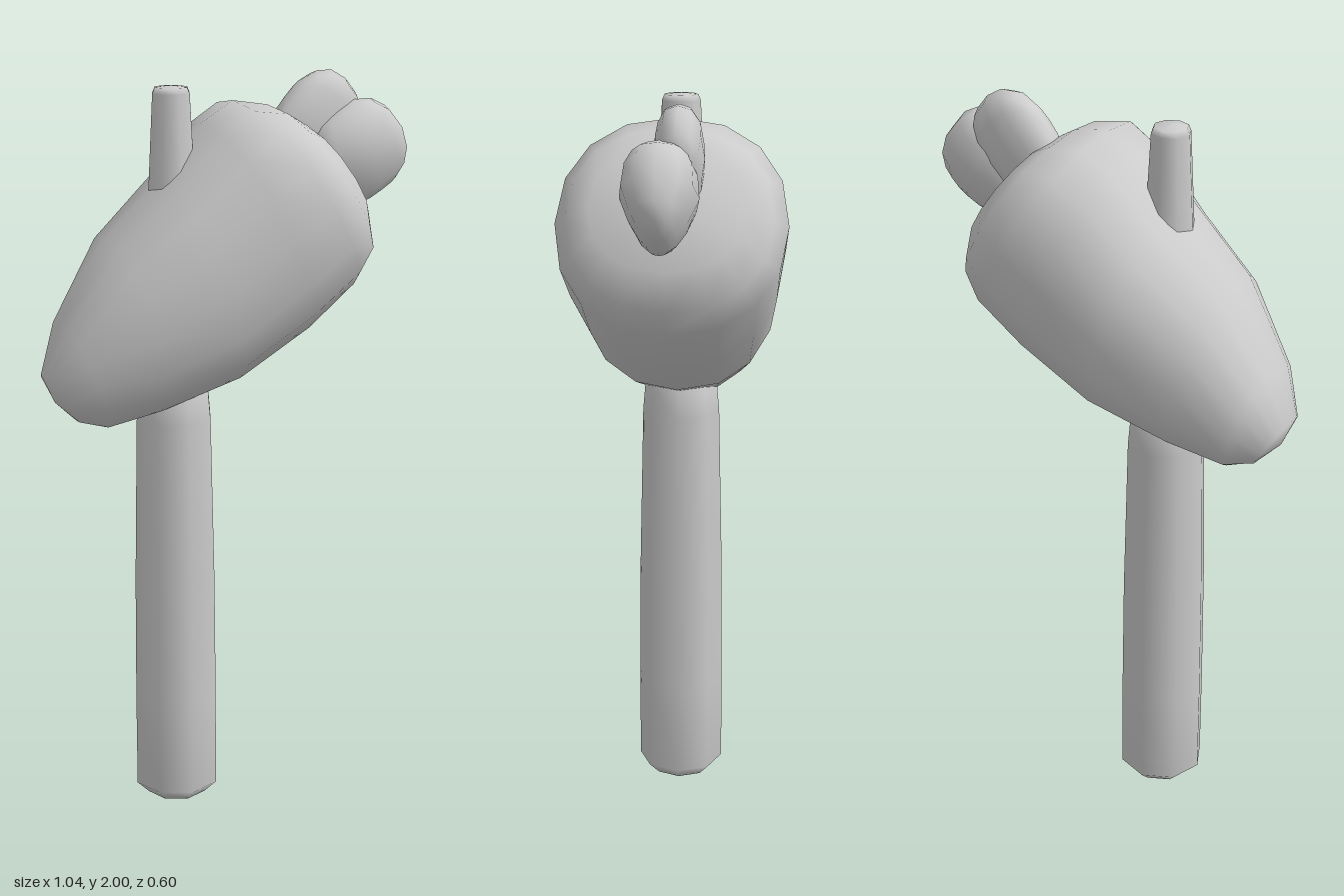
import * as THREE from 'three';
import { mergeVertices } from 'three/addons/utils/BufferGeometryUtils.js';

const material = new THREE.MeshStandardMaterial({ color: 0xcccccc });

function addPart(group, name, geometry) {
  const mesh = new THREE.Mesh(geometry, material);
  mesh.name = name;
  group.add(mesh);
  return mesh;
}

// Eight-sided turned post from [radius, height] pairs
function post(profile) {
  return new THREE.LatheGeometry(profile.map(([r, y]) => new THREE.Vector2(r, y)), 8);
}

// Body skinned over tilted oval rings: [topX, topY, bottomX, bottomY, halfWidth]
function ringBody(rings, sides) {
  const pos = [], index = [];
  const soft = (v) => Math.sign(v) * Math.abs(v) ** 0.9;
  for (const [tx, ty, bx, by, w] of rings) {
    const mx = (tx + bx) / 2, my = (ty + by) / 2;
    for (let j = 0; j < sides; j++) {
      const a = (j / sides) * Math.PI * 2;
      const c = soft(Math.cos(a)), s = soft(Math.sin(a));
      pos.push(mx + c * (tx - mx), my + c * (ty - my), s * w);
    }
  }
  const last = (rings.length - 1) * sides;
  for (let i = 0; i < rings.length - 1; i++) {
    for (let j = 0; j < sides; j++) {
      const a = i * sides + j, b = i * sides + (j + 1) % sides;
      index.push(a, b, b + sides, a, b + sides, a + sides);
    }
  }
  // End caps
  const centre = (r, dx, dy) => {
    pos.push((r[0] + r[2]) / 2 + dx, (r[1] + r[3]) / 2 + dy, 0);
    return pos.length / 3 - 1;
  };
  const start = centre(rings[0], -0.015, -0.01);
  const end = centre(rings[rings.length - 1], 0.025, 0.015);
  for (let j = 0; j < sides; j++) {
    const k = (j + 1) % sides;
    index.push(start, k, j, end, last + j, last + k);
  }
  const g = new THREE.BufferGeometry();
  g.setAttribute('position', new THREE.Float32BufferAttribute(pos, 3));
  g.setIndex(index);
  g.computeVertexNormals();
  return g;
}

// Squared-off ellipsoid, narrowing in depth towards its lower right by the taper
function lump(a, b, c, taper) {
  let g = new THREE.SphereGeometry(1, 12, 8);
  g.deleteAttribute('uv');
  g.deleteAttribute('normal');
  g = mergeVertices(g, 1e-4);
  const p = g.attributes.position;
  const soft = (v) => Math.sign(v) * Math.abs(v) ** 0.82;
  for (let i = 0; i < p.count; i++) {
    const x = soft(p.getX(i)), y = soft(p.getY(i)), z = soft(p.getZ(i));
    p.setXYZ(i, x * a, y * b, z * c * (1 + taper * Math.min(y, 0)));
  }
  g.computeVertexNormals();
  return g;
}

export function createModel() {
  const group = new THREE.Group();

  // Upright handle and the tip that emerges above the head
  const handle = addPart(group, 'handle', post([
    [0, 0], [0.085, 0], [0.12, 0.035], [0.12, 0.3], [0.117, 0.65],
    [0.107, 1.1], [0.1, 1.18], [0.07, 1.23], [0, 1.24],
  ]));
  const tip = addPart(group, 'handleTip', post([
    [0, 1.5], [0.075, 1.5], [0.064, 1.74], [0.052, 1.96], [0.045, 1.976], [0, 1.98],
  ]));
  handle.position.x = tip.position.x = -0.153;

  // Slanted tapering head
  addPart(group, 'head', ringBody([
    [-0.515, 1.25, -0.43, 1.12, 0.085],
    [-0.47, 1.385, -0.36, 1.1, 0.15],
    [-0.34, 1.6, -0.22, 1.13, 0.22],
    [-0.18, 1.75, 0, 1.2, 0.268],
    [-0.07, 1.88, 0.2, 1.32, 0.29],
    [0.02, 1.935, 0.33, 1.43, 0.3],
    [0.12, 1.92, 0.375, 1.5, 0.265],
    [0.19, 1.88, 0.375, 1.6, 0.2],
  ], 16));

  // Two rounded lumps on the blunt end of the head
  const front = addPart(group, 'frontLump', lump(0.142, 0.132, 0.098, 0.45));
  front.position.set(0.38, 1.785, 0.013);
  front.rotation.z = 0.55;
  const back = addPart(group, 'backLump', lump(0.145, 0.105, 0.063, 0));
  back.position.set(0.27, 1.866, -0.028);
  back.rotation.z = 0.87;

  return group;
}
